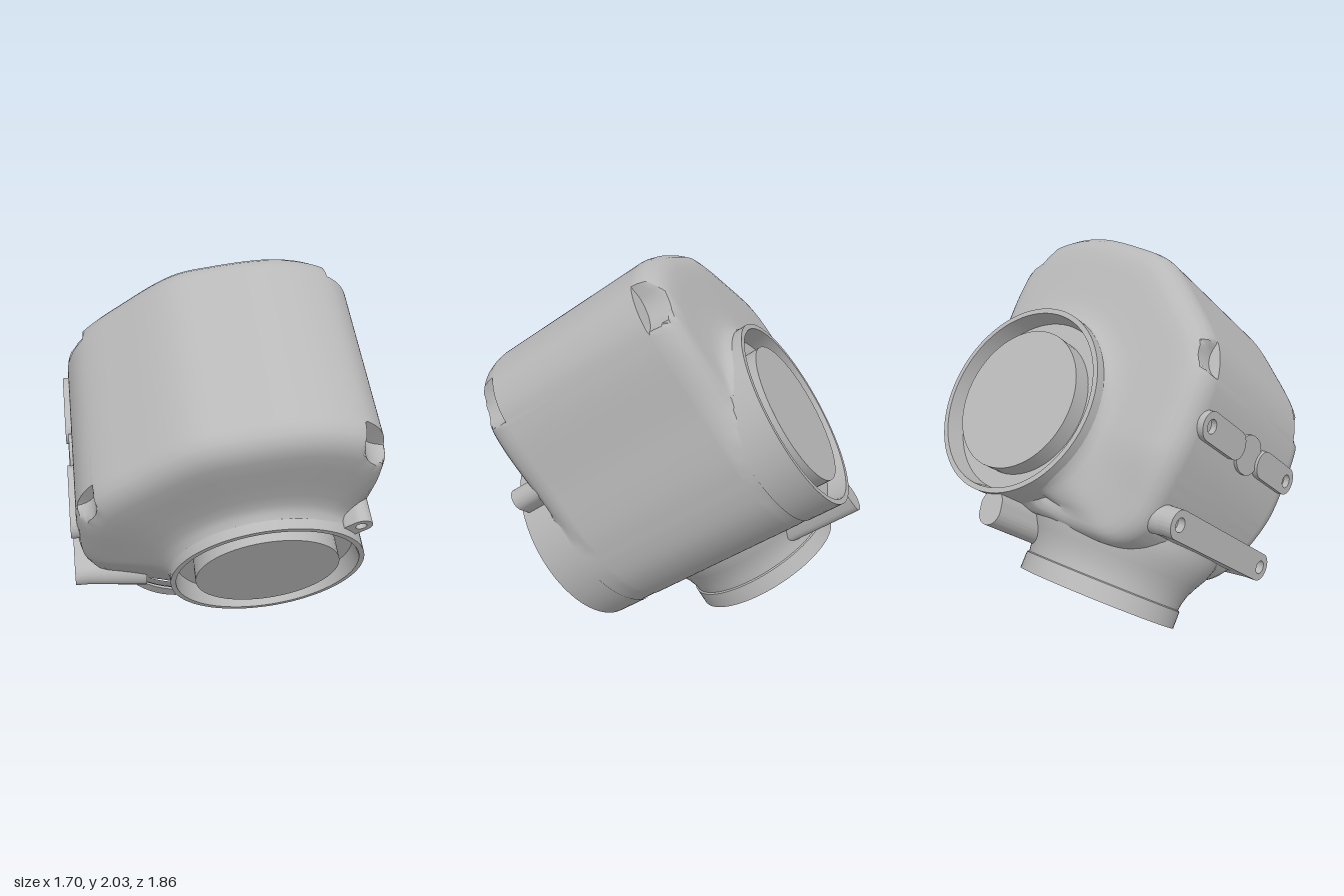
import * as THREE from 'three';
import { toCreasedNormals } from 'three/addons/utils/BufferGeometryUtils.js';

const metal = new THREE.MeshStandardMaterial({ color: 0xb8b8b8 });
metal.name = 'cast metal';

const AX = 0.22, AY = 0.738; // bearing axis, running along z
const crease = (g, angle = 0.6) => toCreasedNormals(g, angle);

function add(parent, name, geometry) {
  const mesh = new THREE.Mesh(geometry, metal);
  mesh.name = name;
  parent.add(mesh);
  return mesh;
}

// Stadium-shaped plate between two points, with round holes
function capsule(p, q, r, depth, holes = [], holeR = 0.035) {
  const a = Math.atan2(q[1] - p[1], q[0] - p[0]), h = Math.PI / 2;
  const s = new THREE.Shape();
  s.absarc(q[0], q[1], r, a - h, a + h);
  s.absarc(p[0], p[1], r, a + h, a + 3 * h);
  for (const [x, y] of holes) {
    const path = new THREE.Path();
    path.absarc(x, y, holeR, 0, Math.PI * 2, true);
    s.holes.push(path);
  }
  return crease(new THREE.ExtrudeGeometry(s, { depth, bevelEnabled: false, curveSegments: 16 }));
}

// Housing: outline lofted along z, closing in on a round opening at each end
function housingGeometry() {
  const outline = [
    [0.72, 0.74], [0.72, 1.1], [0.715, 1.42], [0.685, 1.56], [0.60, 1.67], [0.46, 1.735],
    [0.28, 1.76], [0, 1.725], [-0.2, 1.67], [-0.45, 1.475], [-0.66, 1.26], [-0.72, 1.1],
    [-0.73, 0.9], [-0.72, 0.70], [-0.67, 0.48], [-0.61, 0.33], [-0.5, 0.24], [-0.3, 0.22],
    [0, 0.24], [0.22, 0.238], [0.47, 0.305], [0.653, 0.488],
  ].map(([x, y]) => new THREE.Vector3(x, y, 0));
  const N = 300;
  const pts = new THREE.CatmullRomCurve3(outline, true).getSpacedPoints(N).slice(0, N);
  // Corner pockets: centre relative to the axis, and radius
  const pockets = [[0.715 - AX, 1.64 - AY, 0.155], [-0.75 - AX, 1.22 - AY, 0.12]];
  // z, inset, blend towards the opening, pockets cut
  const half = [
    [0, 0, 0, 0], [0.41, 0, 0, 0], [0.415, 0, 0, 1], [0.44, 0.003, 0, 1], [0.48, 0.015, 0, 1],
    [0.515, 0.045, 0, 1], [0.535, 0.085, 0, 1], [0.545, 0.12, 0, 1], [0.555, 0.12, 0.2, 1],
    [0.566, 0.12, 0.45, 1], [0.578, 0.12, 0.7, 1], [0.59, 0.12, 0.85, 1], [0.61, 0.12, 0.95, 1],
    [0.645, 0.12, 1, 1],
  ];
  const rows = [
    ...half.slice(1).reverse().map(([z, inset, blend, cut]) => [-z - 0.03 * (1 - blend), inset, blend, cut]),
    ...half,
  ];
  const pos = [], index = [];
  for (const [z, inset, blend, cut] of rows) {
    for (const p of pts) {
      const dx = p.x - AX, dy = p.y - AY, full = Math.hypot(dx, dy);
      const ux = dx / full, uy = dy / full;
      let r = Math.max(0.495, full - inset);
      r += (0.495 - r) * blend;
      if (cut) {
        for (const [qx, qy, rho] of pockets) {
          const m = ux * qx + uy * qy, d = m * m - (qx * qx + qy * qy - rho * rho);
          if (m > 0 && d > 0) r = Math.min(r, m - Math.sqrt(d));
        }
      }
      // The lower corner narrows towards the neck
      const narrow = 0.13 * (1 - THREE.MathUtils.smoothstep(p.y, 0.25, 0.72))
        * (1 - THREE.MathUtils.smoothstep(p.x, -0.3, 0.2));
      pos.push(AX + ux * r, AY + uy * r, z * (1 - narrow * (1 - blend)));
    }
  }
  for (let i = 0; i < rows.length - 1; i++) {
    for (let j = 0; j < N; j++) {
      const a = i * N + j, b = i * N + (j + 1) % N;
      index.push(a, b, b + N, a, b + N, a + N);
    }
  }
  const g = new THREE.BufferGeometry();
  g.setAttribute('position', new THREE.Float32BufferAttribute(pos, 3));
  g.setIndex(index);
  return crease(g, 0.7);
}

function lathe(points) {
  return crease(new THREE.LatheGeometry(points.map(([x, y]) => new THREE.Vector2(x, y)), 72));
}

export function createModel() {
  const model = new THREE.Group();
  model.name = 'gearHousing';
  const tilt = new THREE.Group();
  tilt.name = 'tiltedAssembly';
  tilt.rotation.set(0.586, 0.2, 0, 'YXZ');
  model.add(tilt);
  const body = new THREE.Group();
  body.name = 'housingAssembly';
  body.position.z = -0.505;
  tilt.add(body);

  add(body, 'housing', housingGeometry());

  // Round openings with a raised plug, front and back
  for (const [side, s] of [['front', 1], ['back', -1]]) {
    const end = new THREE.Group();
    end.name = side + 'Opening';
    end.position.set(AX, AY, 0);
    end.rotation.x = s * Math.PI / 2;
    body.add(end);
    add(end, side + 'Rim', lathe([[0.5, 0.5], [0.5, 0.69], [0.473, 0.69], [0.46, 0.59], [0, 0.59]]));
    const plug = add(end, side + 'Plug', crease(new THREE.CylinderGeometry(0.372, 0.372, 0.12, 64)));
    plug.position.y = 0.628;
  }

  // Drilled lugs beside the rims
  const frontLug = [0.635, 1.117], backLug = [0.1, 0.165];
  add(body, 'frontLug', capsule([0.6, 1.085], frontLug, 0.057, 0.17, [frontLug], 0.028)).position.z = 0.48;
  add(body, 'backLug', capsule([0.11, 0.2], backLug, 0.07, 0.45)).position.z = -0.67;

  // Bottom neck with flange, flaring into the housing
  const neck = add(body, 'bottomNeck', lathe([
    [0, -0.04], [0.43, -0.04], [0.43, 0.05], [0.42, 0.055], [0.425, 0.09],
    [0.44, 0.14], [0.465, 0.19], [0.5, 0.25], [0.525, 0.32], [0.53, 0.4],
  ]));
  neck.position.set(-0.155, 0, 0.035);

  // Side pads: plates drawn in z and y, extruded towards -x
  const pad = (name, p, q, r, from, depth, holes) => {
    const mesh = add(body, name, capsule(p, q, r, depth, holes));
    mesh.rotation.y = -Math.PI / 2;
    mesh.position.x = from;
  };
  // Upper pad is split by a round seat
  for (const [name, s] of [['upperPadFront', 1], ['upperPadBack', -1]]) {
    const hole = [s * 0.405, 0.89];
    pad(name, [s * 0.15, 0.89], hole, 0.072, -0.6, 0.16, [hole]);
  }
  pad('upperPadSeat', [-0.01, 0.89], [0.01, 0.89], 0.1, -0.6, 0.145, []);

  // Lower pad on two tapered bosses: z, y, boss length
  const lower = [[-0.36, 0.42, 0.46], [0.46, 0.42, 0.34]];
  pad('lowerPad', lower[0], lower[1], 0.072, -0.63, 0.13, lower);
  for (const [z, y, length] of lower) {
    const boss = add(body, 'lowerBoss', crease(new THREE.CylinderGeometry(0.07, 0.1, length, 32)));
    boss.rotation.z = Math.PI / 2;
    boss.position.set(-0.72 + length / 2, y, z);
  }
  return model;
}
